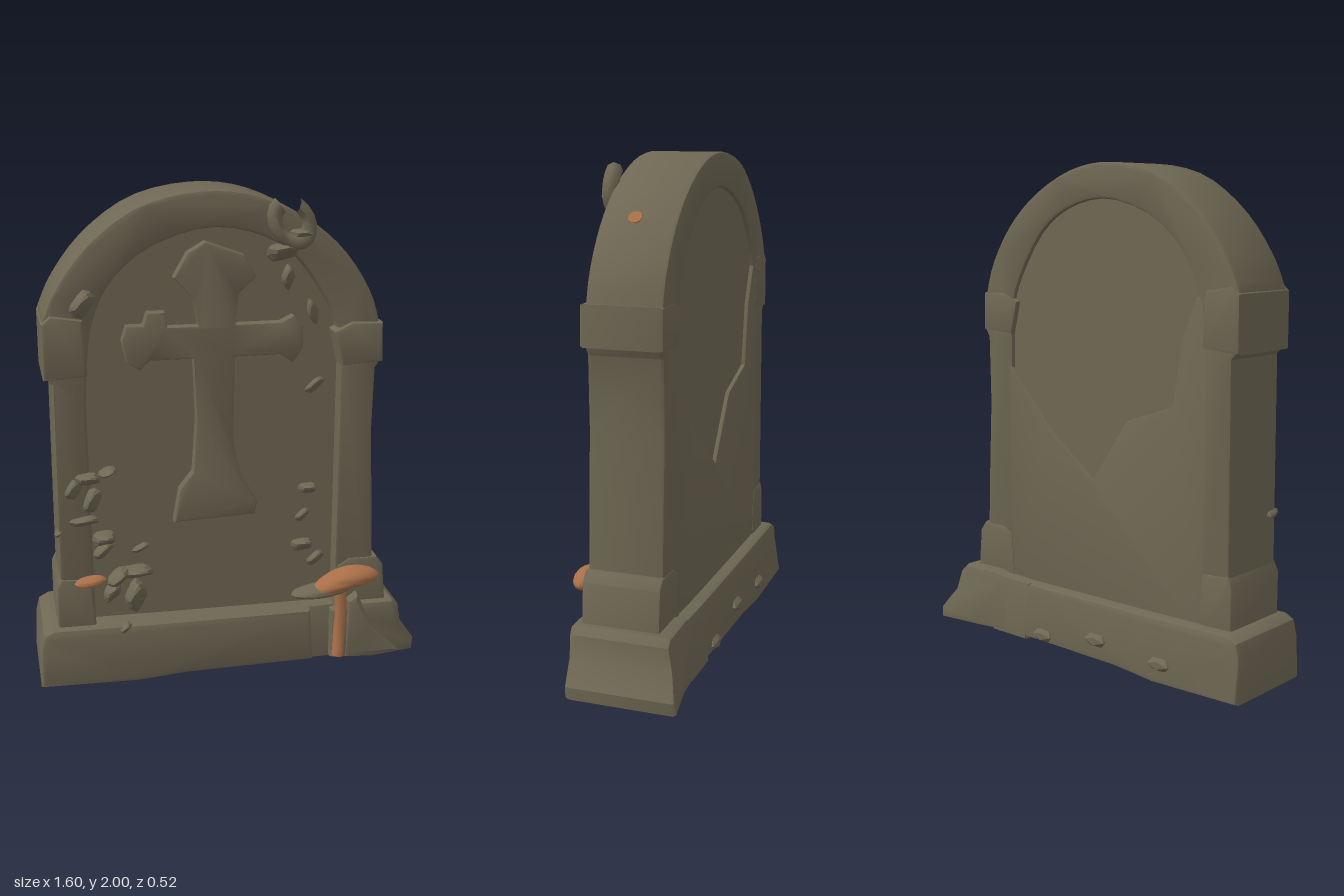
import * as THREE from 'three';
import { toCreasedNormals } from 'three/addons/utils/BufferGeometryUtils.js';

const stone = new THREE.MeshStandardMaterial({ color: 0x6e6753 });
stone.name = 'stone';
const fungus = new THREE.MeshStandardMaterial({ color: 0xa86f48 });
fungus.name = 'orange fungus';

// smooth run of points through a few guides
function spline(pts, n) {
  const c = new THREE.CatmullRomCurve3(pts.map(([x, y]) => new THREE.Vector3(x, y, 0)));
  return c.getPoints(n).map(p => [p.x, p.y]);
}

// bevelled slab whose outer faces lie on the outline and on z0 / z1
function slab(pts, z0, z1, bevel) {
  const shape = new THREE.Shape(pts.map(([x, y]) => new THREE.Vector2(x, y)));
  const geo = new THREE.ExtrudeGeometry(shape, {
    depth: z1 - z0 - 2 * bevel, bevelEnabled: bevel > 0,
    bevelSize: bevel, bevelThickness: bevel, bevelOffset: -bevel, bevelSegments: 2,
  });
  geo.translate(0, 0, z0 + bevel);
  return geo;
}

// apply a rule to every vertex
function warp(geo, rule) {
  const p = geo.attributes.position, v = new THREE.Vector3();
  for (let i = 0; i < p.count; i++) {
    v.fromBufferAttribute(p, i);
    rule(v);
    p.setXYZ(i, v.x, v.y, v.z);
  }
  geo.computeVertexNormals();
  return geo;
}

export function createModel() {
  const group = new THREE.Group();
  const add = (name, geo, mat = stone, crease = 0.6) => {
    const mesh = new THREE.Mesh(toCreasedNormals(geo, crease), mat);
    mesh.name = name;
    group.add(mesh);
    return mesh;
  };

  // outer and inner arch lines, both running left to right
  const outer = spline([[-0.73, 1.53], [-0.68, 1.64], [-0.55, 1.81], [-0.35, 1.95], [-0.1, 2.0],
    [0.1, 1.975], [0.3, 1.88], [0.45, 1.75], [0.56, 1.58], [0.605, 1.43]], 32);
  const inner = spline([[-0.565, 1.36], [-0.545, 1.5], [-0.48, 1.65], [-0.34, 1.78], [-0.1, 1.86],
    [0.1, 1.83], [0.25, 1.74], [0.38, 1.56], [0.43, 1.44], [0.44, 1.3]], 28);

  // arched frame with its two pillars
  add('archedFrame', slab([
    [-0.705, 0.2], [-0.7, 1.28], [-0.73, 1.31], ...outer, [0.605, 1.31], [0.585, 1.28], [0.58, 1.0],
    [0.595, 0.7], [0.615, 0.2], [0.44, 0.2], ...inner.slice().reverse(), [-0.575, 1.2], [-0.565, 0.2],
  ], -0.14, 0.165, 0.014));

  // sunken panel, front and back
  const panelOutline = [[-0.6, 0.15], [-0.6, 1.36],
    ...inner.map(([x, y]) => [(x + 0.06) * 1.04 - 0.06, y + 0.02]), [0.47, 0.15]];
  add('panel', slab(panelOutline, -0.122, 0.1, 0));

  // unbroken stone below the diagonal break on the back
  add('backLowerFace', slab([[-0.59, 0.2], [-0.59, 1.5], [-0.54, 1.5], [-0.47, 1.34], [-0.43, 1.08],
    [-0.2, 1.0], [-0.02, 0.74], [0.22, 0.92], [0.46, 1.18], [0.46, 0.2]], -0.14, -0.1, 0.006));

  // raised cross with flared ends
  add('cross', slab([
    [-0.1, 1.805], [-0.17, 1.765], [-0.225, 1.67], [-0.15, 1.59], [-0.13, 1.48], [-0.25, 1.48],
    [-0.26, 1.54], [-0.33, 1.54], [-0.345, 1.49], [-0.41, 1.49], [-0.43, 1.43], [-0.41, 1.345],
    [-0.36, 1.315], [-0.32, 1.35], [-0.15, 1.35], [-0.14, 1.1], [-0.155, 0.88], [-0.21, 0.81],
    [-0.235, 0.67], [0.1, 0.68], [0.11, 0.74], [0.04, 0.86], [0.01, 1.0], [0.015, 1.35], [0.2, 1.35],
    [0.25, 1.315], [0.29, 1.37], [0.29, 1.46], [0.25, 1.505], [0.2, 1.48], [0.02, 1.48],
    [0.03, 1.6], [0.1, 1.665], [0.05, 1.75],
  ].reverse(), 0.08, 0.145, 0.01));

  // impost blocks at the springing of the arch
  add('rightImpost', slab([[-0.735, 1.3], [-0.735, 1.52], [-0.7, 1.55], [-0.58, 1.53], [-0.565, 1.31]],
    -0.145, 0.185, 0.015));
  add('leftImpost', slab([[0.44, 1.3], [0.405, 1.44], [0.48, 1.475], [0.605, 1.47], [0.61, 1.31]],
    -0.145, 0.185, 0.015));

  // plinth blocks under the pillars
  add('rightPlinth', slab([[-0.72, 0.2], [-0.72, 0.43], [-0.7, 0.47], [-0.58, 0.46], [-0.56, 0.2]],
    -0.145, 0.172, 0.012));
  add('leftPlinth', slab([[0.435, 0.2], [0.45, 0.43], [0.5, 0.46], [0.62, 0.46], [0.65, 0.42], [0.67, 0.2]],
    -0.145, 0.172, 0.012));

  // base: long block, and a slumped block at the left end
  const spread = v => {
    if (v.y < 0.14) v.z += (0.14 - v.y) * (v.z < 0 ? -0.2 : 0.05);
    if (v.x > 0.62 && v.z < 0) v.z -= (v.x - 0.62) * (v.y < 0.15 ? 0.22 : 0.05);
    if (v.x > 0.68 && v.z > 0) v.z -= (v.x - 0.68) * 0.2;
  };
  add('baseBlock', warp(slab([[-0.8, 0.01], [-0.795, 0.18], [-0.78, 0.24], [-0.74, 0.262], [-0.3, 0.255],
    [0.33, 0.25], [0.345, 0.02], [-0.2, 0.015], [-0.4, 0.0]], -0.195, 0.205, 0.022), spread));
  add('baseCore', warp(slab([[0.3, 0.01], [0.3, 0.25], [0.5, 0.255], [0.5, 0.01]], -0.195, 0.165, 0.01), spread));
  add('slumpedBaseEnd', warp(slab([[0.42, 0.02], [0.42, 0.24], [0.5, 0.265], [0.69, 0.262], [0.72, 0.235],
    [0.735, 0.15], [0.8, 0.06], [0.795, 0.01], [0.6, 0.005]], -0.2, 0.205, 0.02), spread));
  // stone drift sliding off the plinth
  add('slumpRidge', slab([[0.48, 0.02], [0.49, 0.28], [0.53, 0.31], [0.6, 0.16], [0.72, 0.03]], 0.1, 0.22, 0.02));

  // large mushroom: bent stem and sloping cap
  const stemPath = new THREE.CatmullRomCurve3([[0.445, 0.04, 0.225], [0.455, 0.15, 0.205], [0.46, 0.25, 0.2],
    [0.455, 0.36, 0.2]].map(p => new THREE.Vector3(...p)));
  add('mushroomStem', new THREE.TubeGeometry(stemPath, 10, 0.026, 8), fungus, 1);
  const capRule = v => { v.y += (v.x > 0 ? 0.13 : 0.3) * v.x - v.x * v.x * 0.7; };
  const cap = add('mushroomCap', warp(new THREE.SphereGeometry(1, 18, 10).scale(0.15, 0.046, 0.065), capRule), fungus, 1);
  cap.position.set(0.475, 0.385, 0.195);
  const brim = add('mushroomBrim', new THREE.SphereGeometry(1, 14, 8).scale(0.13, 0.026, 0.06), stone, 1);
  brim.position.set(0.375, 0.335, 0.19);
  brim.rotation.z = 0.08;

  // small mushroom on the other pillar, and a lichen spot on the arch
  const little = add('smallMushroom', new THREE.SphereGeometry(1, 12, 8).scale(0.065, 0.02, 0.04), fungus, 1);
  little.position.set(-0.585, 0.462, 0.188);
  little.rotation.z = 0.12;
  const spot = add('lichenSpot', new THREE.CylinderGeometry(0.028, 0.028, 0.006, 10), fungus);
  spot.position.set(0.43, 1.772, 0.03);
  spot.rotation.z = -0.79;

  // leaf: lumpy bud tapering to a forward, drooping tip
  const leaf = (name, x, y, z, w, h, reach, turn) => {
    const geo = warp(new THREE.SphereGeometry(1, 8, 6), v => {
      const t = (v.z + 1) / 2;
      v.x *= 1.1 - 0.5 * t;
      v.y = v.y * (1.1 - 0.75 * t) + 0.6 * t * t - 0.3 + 0.25 * Math.sin(3 * v.x);
    }).scale(w, h, reach);
    const mesh = add(name, geo, stone, 0.5);
    mesh.position.set(x, y, z);
    mesh.rotation.z = turn;
  };
  // x, y, z, half width, half height, reach, turn
  [[-0.58, 1.6, 0.18, 0.065, 0.055, 0.075, 0.35],
    [-0.64, 0.86, 0.175, 0.05, 0.04, 0.035, 0.5], [-0.58, 0.9, 0.18, 0.06, 0.035, 0.045, -0.3],
    [-0.5, 0.91, 0.15, 0.045, 0.022, 0.06, 0.1], [-0.57, 0.81, 0.18, 0.06, 0.045, 0.05, 0.7],
    [-0.6, 0.72, 0.17, 0.07, 0.028, 0.04, -0.1], [-0.7, 0.665, 0.14, 0.022, 0.022, 0.04, 0],
    [-0.52, 0.64, 0.17, 0.05, 0.045, 0.06, -0.5], [-0.53, 0.59, 0.17, 0.055, 0.035, 0.05, 0.4],
    [-0.37, 0.56, 0.11, 0.045, 0.02, 0.03, 0.2], [-0.47, 0.46, 0.16, 0.06, 0.04, 0.07, 0.3],
    [-0.39, 0.47, 0.14, 0.08, 0.035, 0.06, -0.2], [-0.4, 0.37, 0.14, 0.06, 0.08, 0.06, 0.3],
    [-0.49, 0.39, 0.13, 0.04, 0.06, 0.05, -0.2], [-0.45, 0.245, 0.19, 0.035, 0.028, 0.035, 0.2],
  ].forEach(a => leaf('creeperLeaf', ...a));
  // flakes along the other pillar
  [[0.2, 1.77, 0.16, 0.07, 0.05, 0.06, -0.3], [0.23, 1.66, 0.11, 0.035, 0.055, 0.04, 0.3],
    [0.33, 1.52, 0.11, 0.03, 0.06, 0.025, 0.5], [0.35, 1.21, 0.1, 0.055, 0.03, 0.025, 0.4],
    [0.33, 0.77, 0.11, 0.045, 0.035, 0.04, -0.5], [0.31, 0.65, 0.1, 0.04, 0.03, 0.03, 0.3],
    [0.31, 0.52, 0.11, 0.055, 0.04, 0.035, -0.4], [0.37, 0.45, 0.1, 0.05, 0.035, 0.03, 0.3],
  ].forEach(a => leaf('creeperFlake', ...a));

  // curled leaf over the arch
  const curl = add('curledLeaf', new THREE.TorusGeometry(0.065, 0.028, 7, 14, 5.2).scale(1.25, 0.95, 1.2), stone, 1);
  curl.position.set(0.225, 1.875, 0.185);
  curl.rotation.z = 2.2;
  leaf('curledLeafTip', 0.27, 1.83, 0.18, 0.06, 0.035, 0.05, -0.4);

  // chips on the back of the base
  [[-0.43, 0.08], [-0.1, 0.1], [0.2, 0.05]].forEach(([x, y]) => {
    const chip = add('baseChip', new THREE.IcosahedronGeometry(1, 0).scale(0.06, 0.03, 0.025));
    chip.position.set(x, y, -0.21);
  });

  return group;
}
